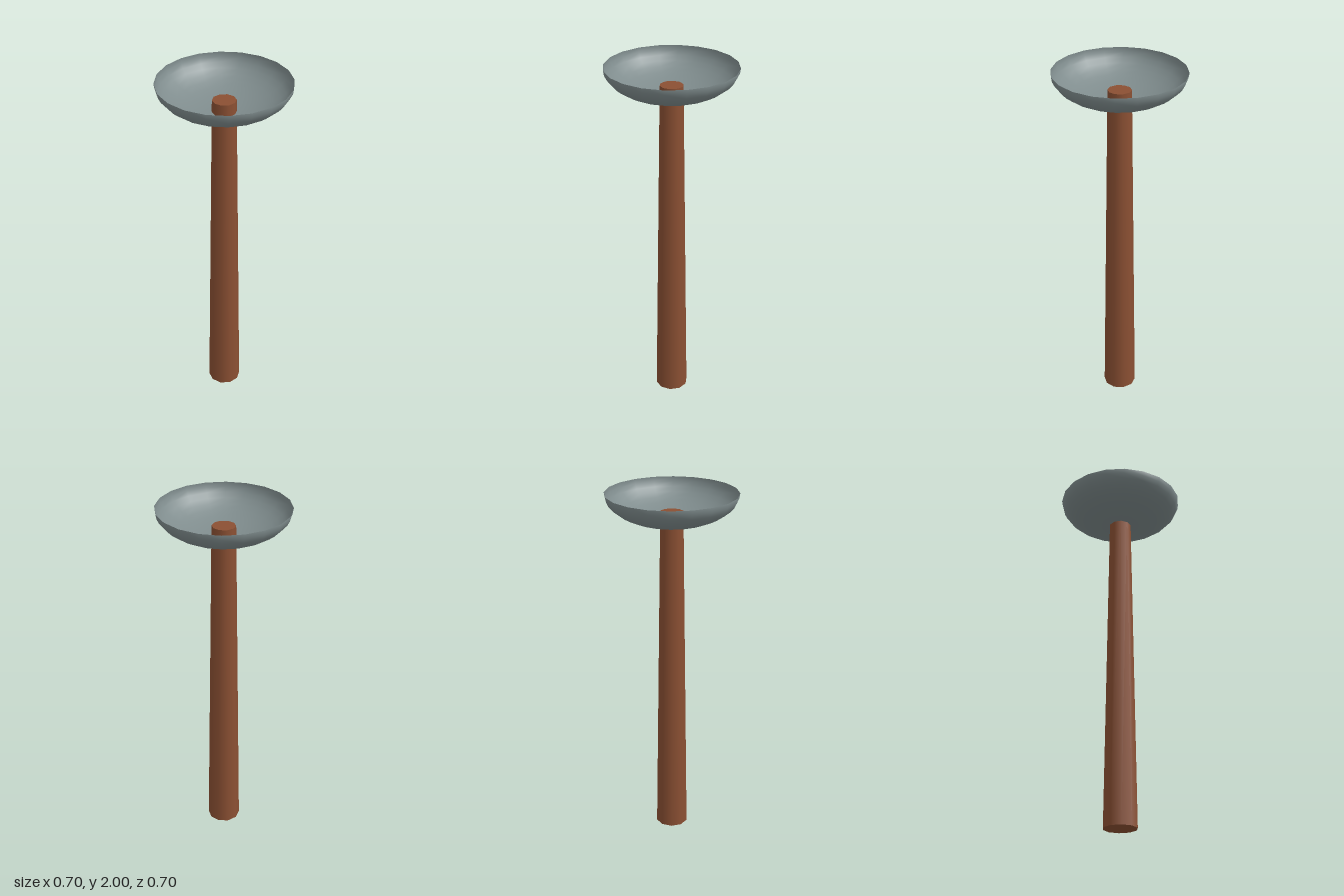
import * as THREE from 'three';

export function createModel() {
  const model = new THREE.Group();

  // Tapered ten-sided post, ending inside the bowl
  const postHeight = 1.9;
  const post = new THREE.Mesh(
    new THREE.CylinderGeometry(0.063, 0.093, postHeight, 10),
    new THREE.MeshStandardMaterial({ color: 0x8b5033 })
  );
  post.name = 'post';
  post.position.y = postHeight / 2;
  model.add(post);

  // Open, thin bowl: the lower half of a flattened sphere
  const radius = 0.352, depth = 0.167;
  const bowl = new THREE.Mesh(
    new THREE.SphereGeometry(radius, 20, 10, 0, Math.PI * 2, Math.PI / 2, Math.PI / 2)
      .scale(1, depth / radius, 1),
    new THREE.MeshStandardMaterial({ color: 0x7f8c8d, side: THREE.DoubleSide })
  );
  bowl.name = 'bowl';
  bowl.position.y = 2;
  model.add(bowl);

  return model;
}
